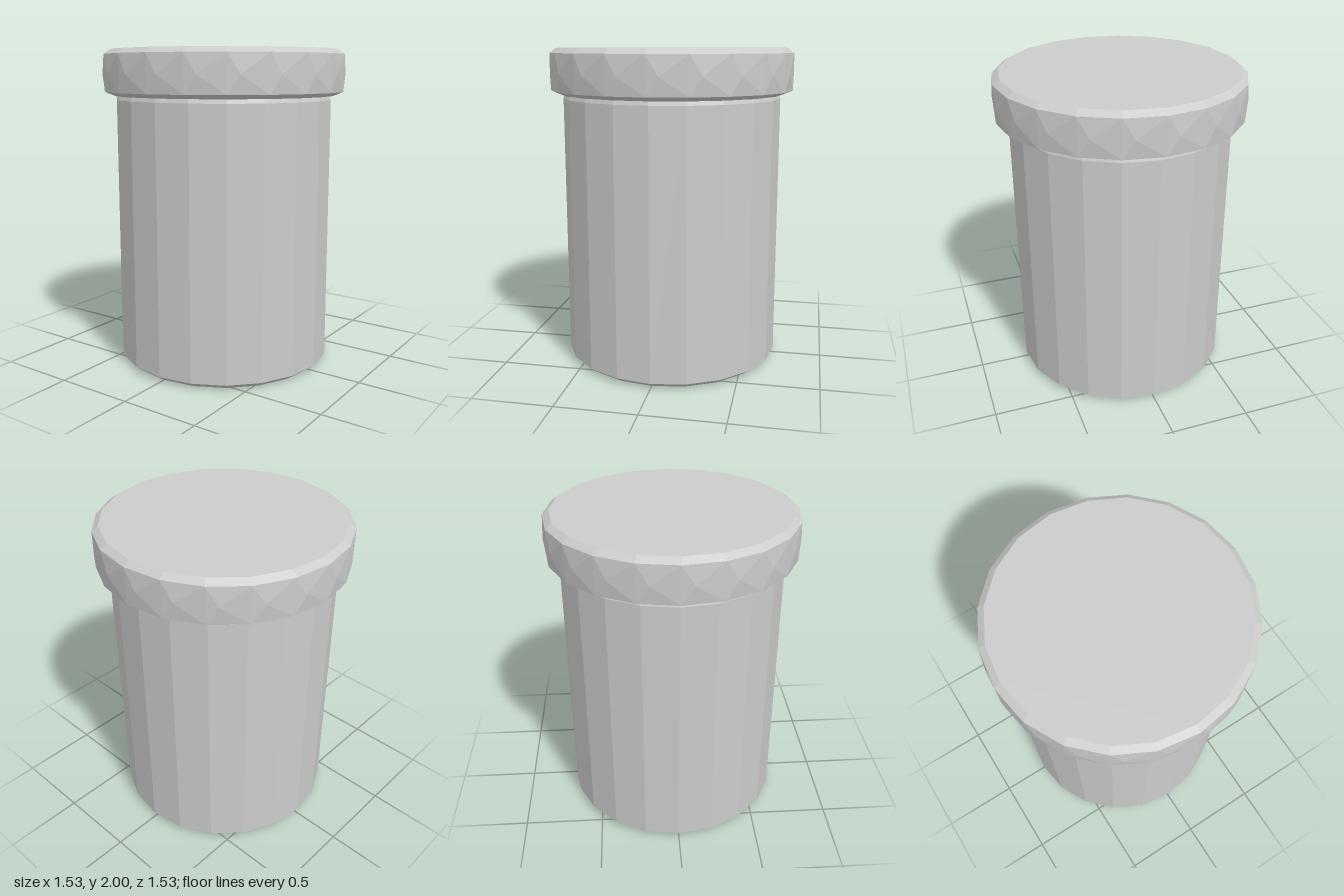
import * as THREE from 'three';
import { ConvexGeometry } from 'three/addons/geometries/ConvexGeometry.js';

const SIDES = 20;

// Faceted solid wrapped around stacked rings of [radius, height, turn in side widths]
function facetedSolid(name, rings, material) {
  const points = [];
  for (const [radius, y, turn] of rings) {
    for (let i = 0; i < SIDES; i++) {
      const a = ((i + turn) / SIDES) * Math.PI * 2;
      points.push(new THREE.Vector3(Math.sin(a) * radius, y, Math.cos(a) * radius));
    }
  }
  const mesh = new THREE.Mesh(new ConvexGeometry(points), material);
  mesh.name = name;
  return mesh;
}

export function createModel() {
  const model = new THREE.Group();
  model.name = 'liddedCanister';
  const material = new THREE.MeshStandardMaterial({ color: 0xcccccc, flatShading: true });

  // Straight body with a narrow bevel at the foot and under the lid
  model.add(facetedSolid('body', [
    [0.645, 0, 0],
    [0.69, 0.035, 0],
    [0.688, 1.69, 0],
    [0.67, 1.74, 0],
  ], material));

  // Wider lid; its upper and lower rims are staggered to give triangular facets
  model.add(facetedSolid('lid', [
    [0.7, 1.715, 0],
    [0.763, 1.74, 0],
    [0.768, 1.85, 0.3],
    [0.765, 1.97, 0],
    [0.725, 2, 0],
  ], material));

  return model;
}
